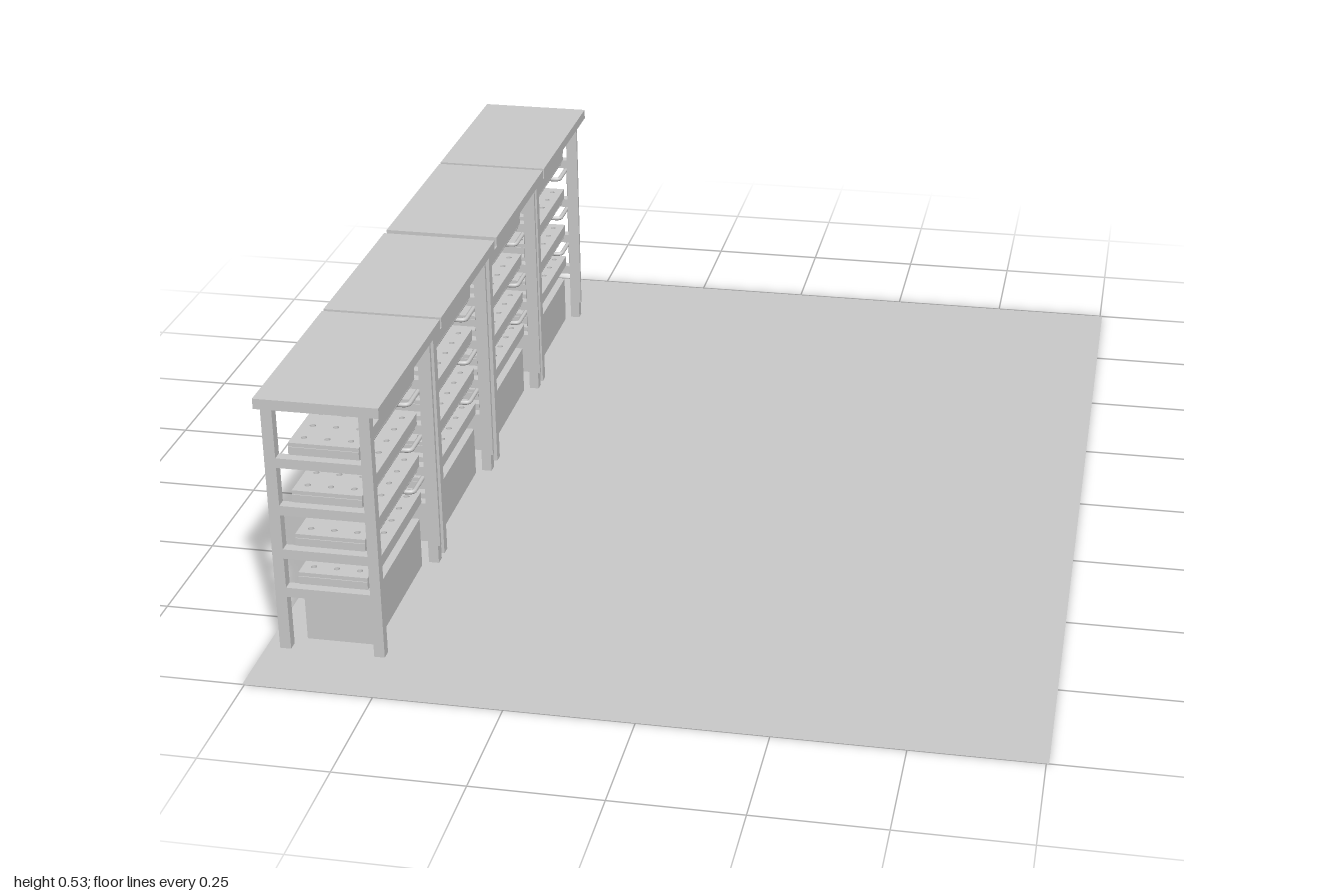
import * as THREE from 'three';

const mat = new THREE.MeshStandardMaterial({ color: 0xcccccc });
const matDouble = new THREE.MeshStandardMaterial({ color: 0xcccccc, side: THREE.DoubleSide });

function add(parent, name, geometry, x = 0, y = 0, z = 0, material = mat) {
  const mesh = new THREE.Mesh(geometry, material);
  mesh.name = name;
  mesh.position.set(x, y, z);
  parent.add(mesh);
  return mesh;
}

// Box given by its limits on each axis
function box(parent, name, [x0, x1], [y0, y1], [z0, z1]) {
  return add(parent, name, new THREE.BoxGeometry(x1 - x0, y1 - y0, z1 - z0),
    (x0 + x1) / 2, (y0 + y1) / 2, (z0 + z1) / 2);
}

// Pipe with rounded elbows through a list of corner points
function pipe(parent, name, points, radius, bend = 0.012) {
  const p = points.map((c) => new THREE.Vector3(...c));
  const path = new THREE.CurvePath();
  let last = p[0];
  for (let i = 1; i < p.length - 1; i++) {
    const a = p[i].clone().add(p[i - 1].clone().sub(p[i]).setLength(bend));
    const b = p[i].clone().add(p[i + 1].clone().sub(p[i]).setLength(bend));
    path.add(new THREE.LineCurve3(last, a));
    path.add(new THREE.QuadraticBezierCurve3(a, p[i], b));
    last = b;
  }
  path.add(new THREE.LineCurve3(last, p[p.length - 1]));
  return add(parent, name, new THREE.TubeGeometry(path, 40, radius, 8, false), 0, 0, 0, matDouble);
}

// Perforated tray lid lying flat, its underside at y = 0
function lidGeometry(x0, x1, z0, z1, thickness) {
  const shape = new THREE.Shape();
  shape.moveTo(x0, z0).lineTo(x1, z0).lineTo(x1, z1).lineTo(x0, z1).closePath();
  const rows = 3, columns = 7;
  for (let i = 0; i < rows; i++) {
    for (let j = 0; j < columns; j++) {
      const hole = new THREE.Path();
      hole.absarc(x0 + (x1 - x0) * (i + 0.5) / rows, z0 + (z1 - z0) * (j + 0.5) / columns, 0.006, 0, Math.PI * 2, true);
      shape.holes.push(hole);
    }
  }
  const g = new THREE.ExtrudeGeometry(shape, { depth: thickness, bevelEnabled: false, curveSegments: 8 });
  g.rotateX(-Math.PI / 2);
  return g;
}

const SHELVES = [0.115, 0.198, 0.291, 0.391]; // underside of each shelf's bars
const LEG_X = [[-0.728, -0.706], [-0.54, -0.519]];
const LEG_Z = [[0.178, 0.199], [-0.196, -0.175]];
const TRAY_X = [-0.687, -0.55];

function createRack() {
  const rack = new THREE.Group();

  // Frame
  box(rack, 'topPanel', [-0.74, -0.499], [0.512, 0.533], [-0.203, 0.203]);
  for (const x of LEG_X) for (const z of LEG_Z) box(rack, 'leg', x, [0, 0.512], z);

  // Water tank
  box(rack, 'tank', TRAY_X, [0, 0.107], [-0.16, 0.156]);

  // Shelves: end bars, perforated tray, drain elbow
  const lid = lidGeometry(...TRAY_X, -0.178, 0.18, 0.008);
  SHELVES.forEach((y, i) => {
    const top = y + 0.02;
    for (const z of LEG_Z) box(rack, 'shelfBar', [-0.706, -0.54], [y, top], z);
    box(rack, 'tray', TRAY_X, [top, top + 0.016], [-0.178, 0.18]);
    add(rack, 'trayLid', lid, 0, top + 0.016, 0);
    if (i > 0) {
      pipe(rack, 'drainPipe', [[-0.63, top, -0.115], [-0.63, y - 0.007, -0.115],
        [-0.545, y - 0.007, -0.115], [-0.545, y - 0.007, -0.198]], 0.005);
    } else {
      pipe(rack, 'drainPipe', [[-0.545, 0.112, -0.198], [-0.65, 0.112, -0.198], [-0.65, 0.112, -0.15]], 0.004);
    }
  });

  // Lamp tubes under the top panel and the upper shelves
  const lamp = new THREE.CylinderGeometry(0.004, 0.004, 0.338, 8).rotateX(Math.PI / 2);
  for (const y of [0.508, ...SHELVES.slice(1).map((s) => s + 0.016)]) {
    for (let i = 0; i < 5; i++) add(rack, 'lampTube', lamp, -0.683 + i * 0.032, y, 0);
  }

  // Feed riser from the tank, with a branch into each tray
  pipe(rack, 'feedRiser', [[-0.664, 0.045, -0.168], [-0.664, 0.092, -0.168],
    [-0.664, 0.092, -0.204], [-0.664, 0.422, -0.204], [-0.664, 0.422, -0.17]], 0.005);
  for (const y of SHELVES.slice(0, 3)) {
    pipe(rack, 'feedBranch', [[-0.664, y + 0.03, -0.204], [-0.664, y + 0.03, -0.17]], 0.004);
  }

  // Common drain behind the rear leg
  pipe(rack, 'drainRiser', [[-0.543, 0.384, -0.198], [-0.543, 0.112, -0.198]], 0.004);

  // Cable duct on the outer side of the rear leg
  box(rack, 'cableDuct', [-0.52, -0.514], [0.04, 0.512], [-0.182, -0.174]);
  return rack;
}

export function createModel() {
  const model = new THREE.Group();
  model.name = 'plantRackRoom';

  add(model, 'floor', new THREE.PlaneGeometry(1.51, 2).rotateX(-Math.PI / 2), 0, 0, 0, matDouble);

  const rack = createRack();
  [0.662, 0.247, -0.177, -0.593].forEach((z, i) => {
    const copy = rack.clone();
    copy.name = `growingRack${i + 1}`;
    copy.position.z = z;
    model.add(copy);
  });
  return model;
}
